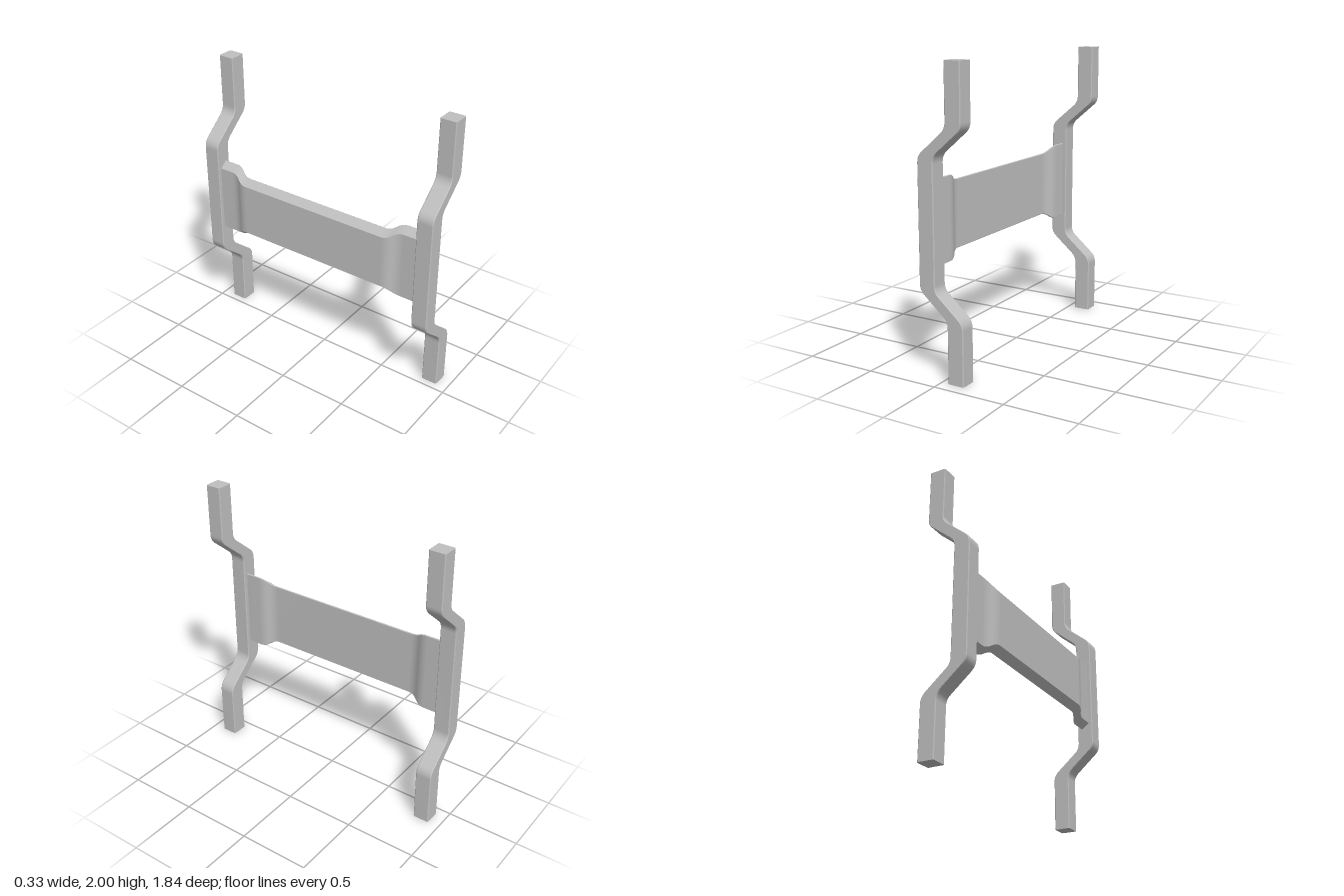
import * as THREE from 'three';

// Skin a row of convex loops: smooth along the length, sharp between the sides.
// Loops run counter-clockwise seen from the far end.
function loft(loops) {
  const pos = [], idx = [], n = loops[0].length;
  for (let j = 0; j < n; j++) {
    const base = pos.length / 3;
    loops.forEach((loop, i) => {
      pos.push(...loop[j], ...loop[(j + 1) % n]);
      if (i === 0) return;
      const a = base + (i - 1) * 2;
      idx.push(a, a + 1, a + 2, a + 1, a + 3, a + 2);
    });
  }
  // flat end caps
  [[...loops[0]].reverse(), loops[loops.length - 1]].forEach((loop) => {
    const base = pos.length / 3;
    loop.forEach((p) => pos.push(...p));
    for (let j = 1; j < n - 1; j++) idx.push(base, base + j, base + j + 1);
  });
  const g = new THREE.BufferGeometry();
  g.setAttribute('position', new THREE.Float32BufferAttribute(pos, 3));
  g.setIndex(idx);
  g.computeVertexNormals();
  return g;
}

// Points along a polyline whose inner corners are rounded off
function roundedPath(corners, cut) {
  const pts = [corners[0]];
  for (let i = 1; i < corners.length - 1; i++) {
    const c = corners[i];
    const toward = (p) => c.clone().add(p.clone().sub(c).setLength(cut));
    const bend = new THREE.QuadraticBezierCurve(toward(corners[i - 1]), c, toward(corners[i + 1]));
    pts.push(...bend.getPoints(6));
  }
  pts.push(corners[corners.length - 1]);
  return pts;
}

const v = (x, y) => new THREE.Vector2(x, y);

// Square bar that steps sideways towards the middle of its height
function railGeometry() {
  const path = roundedPath([
    v(0.107, 0), v(0.107, 0.403), v(-0.097, 0.578),
    v(-0.097, 1.422), v(0.107, 1.597), v(0.107, 2),
  ], 0.042);
  const h = 0.0575, c = h - 0.006;
  const section = [[h, -c], [h, c], [c, h], [-c, h], [-h, c], [-h, -c], [-c, -h], [c, -h]];
  return loft(path.map((p) => section.map(([z, x]) => [p.x + x, p.y, z])));
}

// Bevelled plate that steps sideways and widens near both ends
function panelGeometry() {
  const half = roundedPath([v(0, 0), v(0.595, 0), v(0.665, 1), v(0.805, 1)].map((p) => v(p.x, p.y * 0.05)), 0.038);
  const steps = [...half.slice(1).reverse().map((p) => v(-p.x, p.y)), ...half];
  return loft(steps.map((p) => {
    const x = -0.168 + p.y * 0.8, h = 0.229 + p.y;
    return [
      [0, -h + 0.042], [0.053, -h], [0.06, -h + 0.004],
      [0.06, h - 0.004], [0.053, h], [0, h - 0.042],
    ].map(([dx, y]) => [x + dx, 1 + y, p.x]);
  }));
}

export function createModel() {
  const grey = new THREE.MeshStandardMaterial({ color: 0xbfbfbf });
  grey.name = 'grey';
  const model = new THREE.Group();
  model.name = 'railFrame';

  // Upright rails at front and back
  const rail = railGeometry();
  for (const [name, z] of [['frontRail', 0.8625], ['backRail', -0.8625]]) {
    const mesh = new THREE.Mesh(rail, grey);
    mesh.name = name;
    mesh.position.z = z;
    model.add(mesh);
  }

  // Plate joining the rails
  const panel = new THREE.Mesh(panelGeometry(), grey);
  panel.name = 'connectingPlate';
  model.add(panel);
  return model;
}
